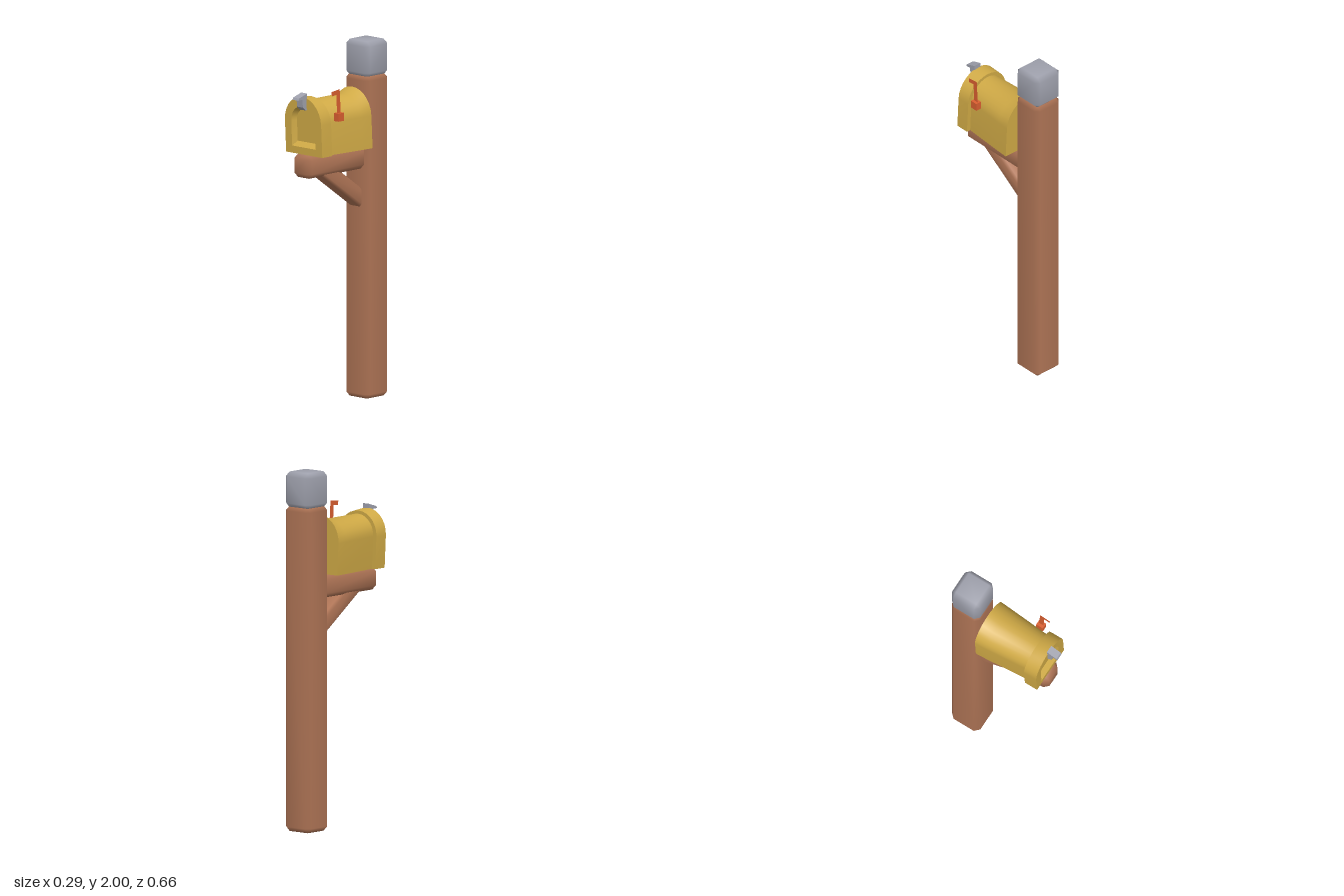
import * as THREE from 'three';
import { mergeVertices, toCreasedNormals } from 'three/addons/utils/BufferGeometryUtils.js';
import { ConvexGeometry } from 'three/addons/geometries/ConvexGeometry.js';

const material = (name, color, side = THREE.FrontSide) => {
  const m = new THREE.MeshStandardMaterial({ color, side });
  m.name = name;
  return m;
};

// Box with chamfered edges and smooth shading
function chamferBox(w, h, d, c) {
  const pts = [];
  for (const sx of [-1, 1]) for (const sy of [-1, 1]) for (const sz of [-1, 1]) {
    const x = w / 2, y = h / 2, z = d / 2;
    pts.push(
      new THREE.Vector3(sx * x, sy * (y - c), sz * (z - c)),
      new THREE.Vector3(sx * (x - c), sy * y, sz * (z - c)),
      new THREE.Vector3(sx * (x - c), sy * (y - c), sz * z));
  }
  let g = new ConvexGeometry(pts);
  g.deleteAttribute('normal');
  g = mergeVertices(g, 1e-5);
  g.computeVertexNormals();
  return g;
}

// Arch outline, anticlockwise from the right foot; it leans slightly to -x
const ARCH = 14;
function archRing({ z, hw, bottom = 1.42, spring = 1.6, top }) {
  const pts = [[hw, bottom]];
  for (let i = 0; i <= ARCH; i++) {
    const a = Math.PI * i / ARCH;
    pts.push([hw * Math.cos(a), spring + (top - spring) * Math.sin(a)]);
  }
  pts.push([-hw, bottom]);
  return pts.map(([x, y]) => [x + 0.002 - 0.05 * (y - 1.42), y, z]);
}

// Skin a row of arches from back to front, keeping sharp edges
function loftArches(sections) {
  const rings = sections.map(archRing);
  const n = rings[0].length, pos = [];
  for (let r = 0; r < rings.length - 1; r++) for (let i = 0; i < n; i++) {
    const j = (i + 1) % n;
    const a = rings[r][i], b = rings[r][j], c = rings[r + 1][i], d = rings[r + 1][j];
    pos.push(...a, ...b, ...c, ...b, ...d, ...c);
  }
  const g = new THREE.BufferGeometry();
  g.setAttribute('position', new THREE.Float32BufferAttribute(pos, 3));
  return toCreasedNormals(g, 0.6);
}

const polygon = (pts) => new THREE.Shape(pts.map(([x, y]) => new THREE.Vector2(x, y)));

export function createModel() {
  const wood = material('wood', 0xb07556);
  const yellow = material('yellowPaint', 0xd0aa46);
  const metal = material('greyMetal', 0xa0a2ae);
  const red = material('orangeRedPaint', 0xdb5f30, THREE.DoubleSide);

  const model = new THREE.Group();
  model.name = 'mailbox';
  const add = (name, geometry, mat, x = 0, y = 0, z = 0) => {
    const mesh = new THREE.Mesh(geometry, mat);
    mesh.name = name;
    mesh.position.set(x, y, z);
    model.add(mesh);
    return mesh;
  };

  // Post, cap, arm and diagonal brace
  add('post', chamferBox(0.184, 1.81, 0.184, 0.026), wood, -0.005, 0.905, -0.238);
  add('postCap', chamferBox(0.184, 0.2, 0.184, 0.026), metal, -0.005, 1.9, -0.238);
  add('arm', chamferBox(0.136, 0.13, 0.49, 0.026), wood, -0.005, 1.355, 0.045);
  const brace = add('brace', chamferBox(0.1, 0.09, 0.44, 0.014), wood, -0.005, 1.222, -0.016);
  brace.rotation.x = -0.61;

  // Box body, flared towards the back
  const backCentre = { hw: 0, bottom: 1.56, spring: 1.56, top: 1.56 };
  add('boxBody', loftArches([
    { z: -0.133, ...backCentre },
    { z: -0.133, hw: 0.139, top: 1.745 },
    { z: -0.06, hw: 0.135, top: 1.715 },
    { z: 0.19, hw: 0.114, top: 1.717 },
  ]), yellow);

  // Front rim with a recessed door panel
  add('frontDoor', loftArches([
    { z: 0.186, hw: 0.105, top: 1.70 },
    { z: 0.186, hw: 0.138, top: 1.735 },
    { z: 0.265, hw: 0.138, top: 1.742 },
    { z: 0.265, hw: 0.09, bottom: 1.46, top: 1.69 },
    { z: 0.235, hw: 0.075, bottom: 1.485, top: 1.675 },
    { z: 0.235, ...backCentre },
  ]), yellow);

  // Hooked latch: side profile given as (z, y), extruded across x
  const latch = add('latch', new THREE.ExtrudeGeometry(polygon([
    [-0.26, 1.675], [-0.26, 1.765], [-0.322, 1.745], [-0.328, 1.733],
    [-0.296, 1.735], [-0.292, 1.69], [-0.268, 1.67],
  ]), { depth: 0.045, bevelEnabled: false }), metal, -0.027);
  latch.rotation.y = Math.PI / 2;

  // Signal flag: mounting block and a thin raised plate
  add('flagBlock', new THREE.BoxGeometry(0.034, 0.045, 0.044), red, 0.13, 1.63, 0.123);
  const flag = add('flag', new THREE.ShapeGeometry(polygon([
    [-0.108, 1.65], [-0.117, 1.785], [-0.183, 1.776], [-0.178, 1.752],
    [-0.143, 1.756], [-0.138, 1.65],
  ])), red, 0.13);
  flag.rotation.y = Math.PI / 2;

  return model;
}
